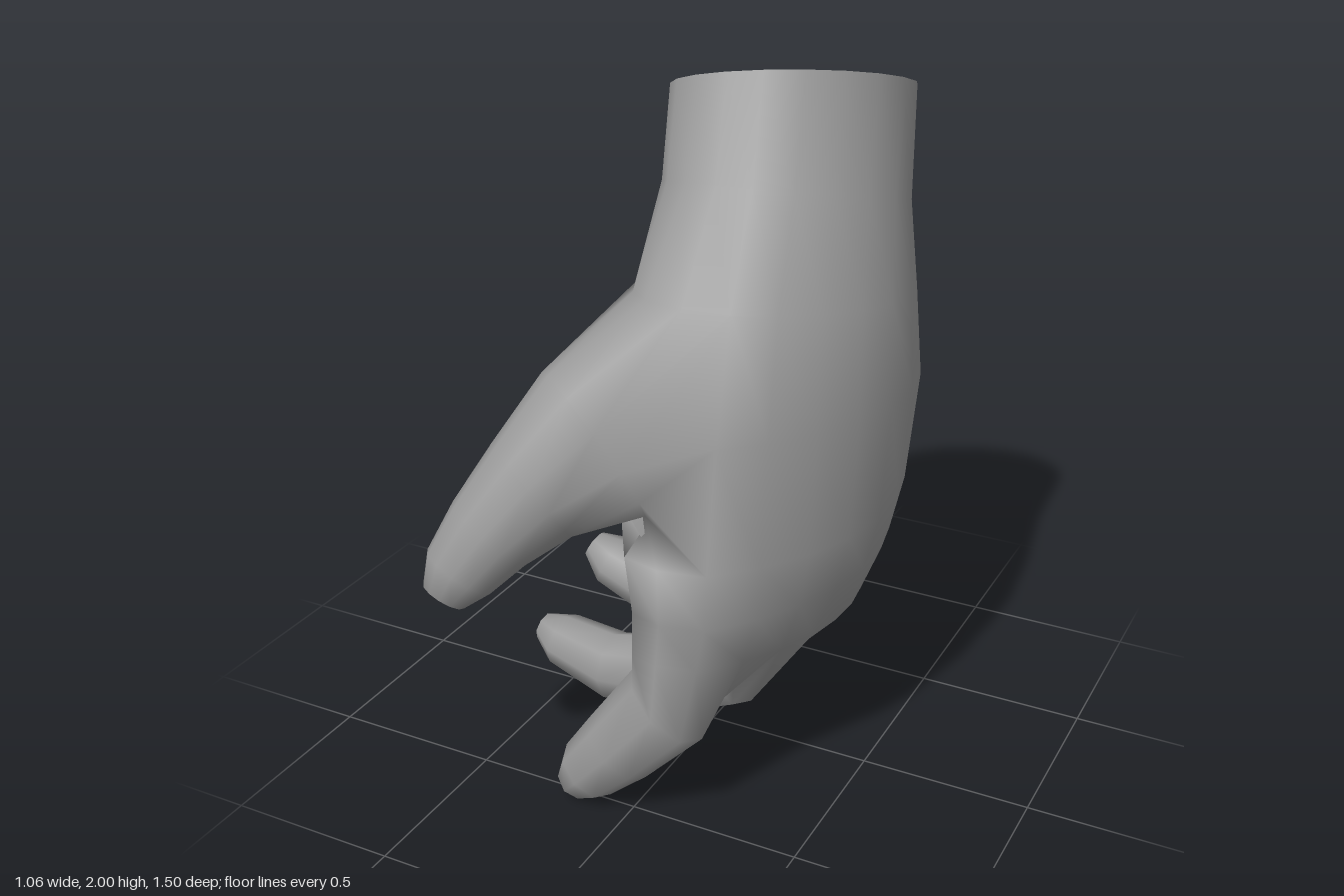
import * as THREE from 'three';

const COLS = 20; // columns round the palm: 0 = back of hand, 5 = thumb side, 10 = palm, 15 = little finger side

// Wrist-to-knuckle sections: x, y, z, half depth, half width, tilt in x, tilt in z, shear, curl, flatness
const PALM = [
  [0.05, 1.885, -0.41, 0.325, 0.34, 0.17, 0.30, 0.14, 0, 0],
  [0.095, 1.62, -0.28, 0.32, 0.36, 0.05, 0.28, 0.14, 0, 0],
  [0.15, 1.40, -0.11, 0.335, 0.44, 0, 0.15, 0.14, 0.05, 0.2],
  [0.23, 1.14, -0.03, 0.295, 0.52, 0, 0.05, 0.12, 0.2, 0.4],
  [0.27, 0.81, 0, 0.245, 0.52, 0, 0, 0.10, 0.4, 0.6],
  [0.295, 0.66, 0.03, 0.19, 0.51, 0, 0, 0.09, 0.45, 0.8],
  [0.255, 0.48, 0.04, 0.155, 0.48, 0, 0.08, 0.08, 0.45, 1],
];

// Joints: x, y, z and the two half thicknesses
const THUMB = [
  [-0.18, 1.04, 0.36, 0.255, 0.20],
  [-0.295, 0.94, 0.50, 0.17, 0.155],
  [-0.38, 0.83, 0.59, 0.13, 0.13],
  [-0.44, 0.73, 0.655, 0.105, 0.10],
  [-0.47, 0.665, 0.69, 0.065, 0.065],
];

// Index to little finger
const FINGERS = [
  [
    [0.105, 0.37, 0.48, 0.125, 0.135],
    [-0.04, 0.20, 0.51, 0.095, 0.115],
    [-0.14, 0.09, 0.51, 0.08, 0.095],
    [-0.185, 0.04, 0.505, 0.065, 0.06],
  ], [
    [0.15, 0.34, 0.17, 0.125, 0.13],
    [-0.03, 0.25, 0.17, 0.115, 0.12],
    [-0.25, 0.21, 0.16, 0.10, 0.105],
    [-0.44, 0.24, 0.14, 0.085, 0.08],
    [-0.515, 0.26, 0.13, 0.04, 0.045],
  ], [
    [0.18, 0.37, -0.10, 0.115, 0.125],
    [0.0, 0.31, -0.10, 0.105, 0.11],
    [-0.20, 0.34, -0.09, 0.095, 0.095],
    [-0.39, 0.42, -0.08, 0.085, 0.08],
    [-0.455, 0.46, -0.08, 0.04, 0.045],
  ], [
    [0.20, 0.39, -0.34, 0.10, 0.115],
    [0.03, 0.345, -0.34, 0.095, 0.10],
    [-0.13, 0.375, -0.33, 0.08, 0.085],
    [-0.27, 0.43, -0.32, 0.07, 0.065],
    [-0.335, 0.46, -0.32, 0.035, 0.035],
  ],
];

export function createModel() {
  const points = [], index = [];
  const add = p => points.push(p) - 1;
  const quad = (a, b, c, d) => index.push(a, b, c, b, d, c);

  // One ring of the palm: round at the wrist, flat and curled at the knuckles
  const palmRing = ([x, y, z, rx, rz, tx, tz, shear, curl, flat]) =>
    Array.from({ length: COLS }, (_, j) => {
      const a = j / COLS * Math.PI * 2, c = Math.cos(a), s = Math.sin(a);
      const even = THREE.MathUtils.clamp(Math.asin(s) / (Math.PI * 0.4), -1.05, 1.05);
      const full = Math.sign(c) * Math.abs(c) ** 0.4;
      const dx = rx * THREE.MathUtils.lerp(c, full, flat);
      const dz = rz * THREE.MathUtils.lerp(s, even, flat);
      return add(new THREE.Vector3(
        x + dx - shear * dz - curl * dz * dz, y + tx * dx + tz * dz, z + dz));
    });

  // Grow a digit out of an existing loop of points; its first point lies towards ref
  const growDigit = (loop, joints, ref) => {
    const n = loop.length, end = joints.length - 1;
    const centres = joints.map(j => new THREE.Vector3(j[0], j[1], j[2]));
    joints.forEach(([, , , ru, rv], i) => {
      const t = centres[Math.min(i + 1, end)].clone().sub(centres[Math.max(i - 1, 0)]).normalize();
      const u = ref.clone().addScaledVector(t, -ref.dot(t)).normalize();
      const v = t.clone().cross(u);
      const ring = loop.map((_, k) => {
        const a = k / n * Math.PI * 2;
        return add(centres[i].clone()
          .addScaledVector(u, Math.cos(a) * ru)
          .addScaledVector(v, Math.sin(a) * rv));
      });
      loop.forEach((p, k) => quad(p, loop[(k + 1) % n], ring[k], ring[(k + 1) % n]));
      loop = ring;
    });
    const tip = add(centres[end].clone().lerp(centres[end - 1], -0.1));
    loop.forEach((p, k) => index.push(p, loop[(k + 1) % n], tip));
  };

  // Wrist and palm, with an opening left for the thumb
  const rings = PALM.map(palmRing);
  for (let i = 0; i < rings.length - 1; i++) {
    for (let j = 0; j < COLS; j++) {
      if ((i === 2 || i === 3) && j >= 4 && j < 8) continue;
      const k = (j + 1) % COLS;
      quad(rings[i][j], rings[i][k], rings[i + 1][j], rings[i + 1][k]);
    }
  }

  // Thumb, from the rim of that opening
  const [, , r2, r3, r4] = rings;
  growDigit([r2[6], r2[7], r2[8], r3[8], r4[8], r4[7], r4[6], r4[5], r4[4], r3[4], r2[4], r2[5]],
    THUMB, new THREE.Vector3(0, 1, 0));

  // Webs between the fingers: halfway between back and palm at each finger boundary
  const knuckles = rings[rings.length - 1];
  const at = j => knuckles[(j + COLS) % COLS];
  const web = j => add(points[at(j)].clone().lerp(points[at(10 - j)], 0.5));
  const sides = [at(5), web(2), web(0), web(-2), at(15)];

  // Fingers share their boundary points, so the skin runs on smoothly
  FINGERS.forEach((joints, f) => {
    const hi = 4 - 2 * f, mid = hi - 1, lo = hi - 2;
    growDigit([sides[f], at(10 - hi), at(10 - mid), at(10 - lo), sides[f + 1], at(lo), at(mid), at(hi)],
      joints, new THREE.Vector3(0, 0, 1));
  });

  const geo = new THREE.BufferGeometry().setFromPoints(points);
  geo.setIndex(index);
  geo.computeVertexNormals();
  const skin = new THREE.Mesh(geo,
    new THREE.MeshStandardMaterial({ color: 0x999999, side: THREE.DoubleSide }));
  skin.name = 'handSkin';
  const hand = new THREE.Group();
  hand.name = 'hand';
  hand.add(skin);
  return hand;
}
